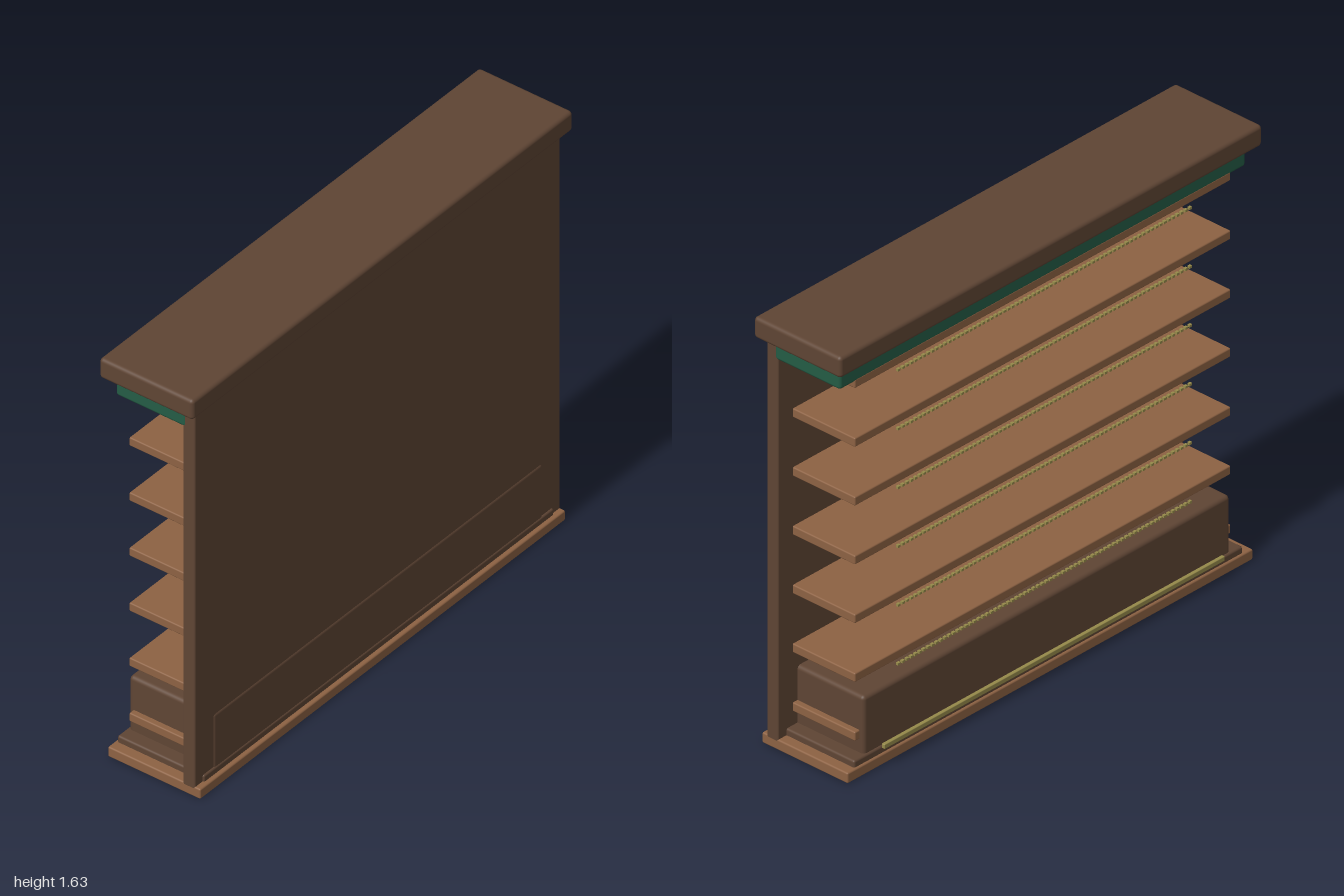
import * as THREE from 'three';
import { mergeGeometries } from 'three/addons/utils/BufferGeometryUtils.js';
import { RoundedBoxGeometry } from 'three/addons/geometries/RoundedBoxGeometry.js';

const mat = (name, color) => {
  const m = new THREE.MeshStandardMaterial({ color });
  m.name = name;
  return m;
};

export function createModel() {
  const group = new THREE.Group();
  const darkWood = mat('darkWood', 0x5f4534);
  const lightWood = mat('lightWood', 0x8d6243);
  const green = mat('green', 0x245c45);
  const brass = mat('brass', 0x968a4a);

  // Box symmetric in x, given by half width and y / z ranges
  const box = (name, material, halfX, y0, y1, z0, z1, radius = 0) => {
    const size = [halfX * 2, y1 - y0, z1 - z0];
    const geometry = radius
      ? new RoundedBoxGeometry(...size, 3, radius)
      : new THREE.BoxGeometry(...size);
    const mesh = new THREE.Mesh(geometry, material);
    mesh.name = name;
    mesh.position.set(0, (y0 + y1) / 2, (z0 + z1) / 2);
    group.add(mesh);
    return mesh;
  };

  // Stepped base
  box('basePlate', lightWood, 0.96, 0, 0.04, -0.18, 0.2, 0.006);
  box('plinthStep', darkWood, 0.92, 0.03, 0.065, -0.172, 0.184, 0.008);
  box('plinthBlock', darkWood, 0.868, 0.04, 0.28, -0.165, 0.181, 0.015);
  box('footRail', brass, 0.806, 0.071, 0.089, -0.2, -0.186, 0.003);

  // Upright panel
  box('panel', darkWood, 0.96, 0.015, 1.56, 0.128, 0.178, 0.006);

  // Shelves, each with a row of small studs below its open edge
  const studs = [];
  const count = 70;
  for (let i = 0; i < 7; i++) {
    const y = 0.1335 + i * 0.2225;
    box('shelf', lightWood, 0.89, y - 0.017, y + 0.017, -0.147, 0.135, 0.005);
    if (i === 0) continue;
    for (let k = 0; k < count; k++) {
      const x = -0.69 + (1.38 * k) / (count - 1);
      studs.push(new THREE.BoxGeometry(0.012, 0.009, 0.01).translate(x, y - 0.03, -0.152));
    }
  }
  const studRows = new THREE.Mesh(mergeGeometries(studs), brass);
  studRows.name = 'studRows';
  group.add(studRows);

  // Green frieze under the top cap
  box('frieze', green, 0.9615, 1.475, 1.56, -0.147, 0.143, 0.012);
  box('topCap', darkWood, 1, 1.55, 1.63, -0.185, 0.2, 0.014);

  return group;
}
